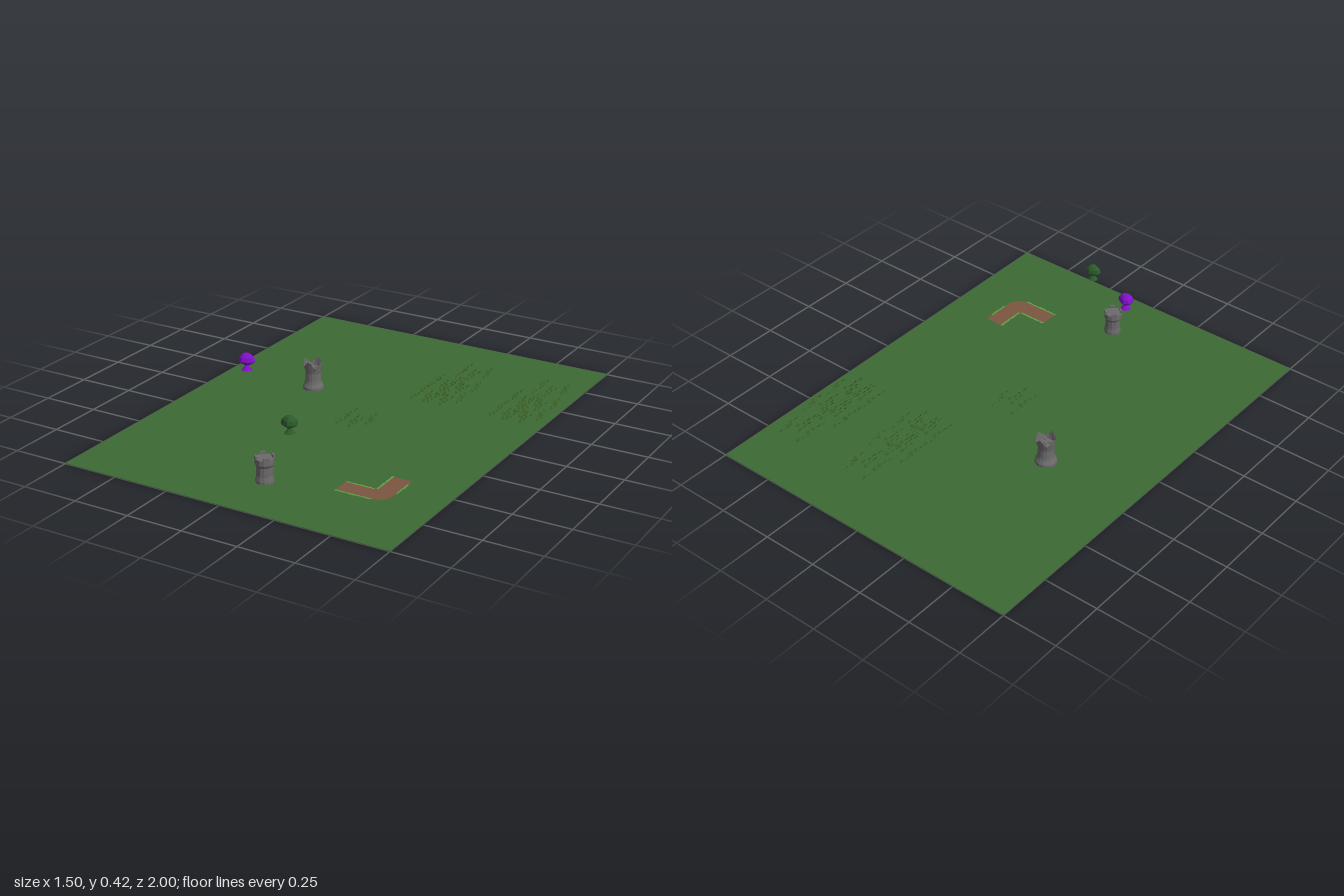
import * as THREE from 'three';
import { mergeGeometries } from 'three/addons/utils/BufferGeometryUtils.js';

const mat = (name, color, flatShading = true) => {
  const m = new THREE.MeshStandardMaterial({ color, flatShading, side: THREE.DoubleSide });
  m.name = name;
  return m;
};

const mesh = (name, geometry, material, x = 0, y = 0, z = 0) => {
  const m = new THREE.Mesh(geometry, material);
  m.name = name;
  m.position.set(x, y, z);
  return m;
};

const group = (name, x, y, z, ...parts) => {
  const g = new THREE.Group();
  g.name = name;
  g.position.set(x, y, z);
  g.add(...parts);
  return g;
};

const lathe = (pts, sides) =>
  new THREE.LatheGeometry(pts.map(([r, y]) => new THREE.Vector2(r, y)), sides);

function seeded(seed) {
  return () => (seed = (seed * 16807) % 2147483647) / 2147483647;
}

// Flat shape laid on the ground, with shape coordinates given as (x, z)
function flatShape(points) {
  const g = new THREE.ShapeGeometry(new THREE.Shape(points.map(([x, z]) => new THREE.Vector2(x, -z))));
  return g.rotateX(-Math.PI / 2);
}

// Tower with a pointed crown and a cross of beams inside
function crownTower(stone) {
  const body = lathe([[0, 0], [0.047, 0], [0.047, 0.012], [0.039, 0.028], [0.036, 0.04],
    [0.034, 0.075], [0.037, 0.09], [0, 0.09]], 16);
  const crown = new THREE.CylinderGeometry(0.042, 0.037, 0.045, 16, 1, true).translate(0, 0.1125, 0);
  const p = crown.attributes.position;
  const heights = [0.135, 0.118, 0.104, 0.118];
  for (let i = 0; i <= 16; i++) p.setY(i, heights[i % 4]);
  const beams = [1, -1].map(s =>
    new THREE.BoxGeometry(0.074, 0.008, 0.01).rotateY(s * Math.PI / 4).translate(0, 0.098, 0));
  return group('crownTower', -0.31, 0.002, -0.19,
    mesh('towerBody', body, stone), mesh('pointedCrown', crown, stone),
    mesh('crossBeams', mergeGeometries(beams), stone));
}

// Tower with a flat deck and four corner battlements
function battlementTower(stone) {
  const body = lathe([[0, 0], [0.038, 0], [0.038, 0.01], [0.034, 0.03], [0.034, 0.068],
    [0.04, 0.08], [0.04, 0.103], [0, 0.103]], 12);
  const merlons = [0, 1, 2, 3].map(i =>
    new THREE.BoxGeometry(0.025, 0.014, 0.008).translate(0, 0.108, 0.035)
      .rotateY(Math.PI / 4 + i * Math.PI / 2));
  return group('battlementTower', 0.036, 0.002, 0.735,
    mesh('towerBody', body, stone), mesh('battlements', mergeGeometries(merlons), stone));
}

// Lumpy tree crown, flat underneath, on a flared foot
function tree(name, material, x, y, z, turn) {
  const cap = new THREE.SphereGeometry(1, 9, 6);
  const p = cap.attributes.position;
  for (let i = 0; i < p.count; i++) {
    const a = Math.atan2(p.getZ(i), p.getX(i));
    const k = 1 + 0.09 * Math.cos(3 * a);
    const h = p.getY(i);
    p.setXYZ(i, p.getX(i) * k * 0.035, h > 0 ? h * 0.033 : h * 0.016, p.getZ(i) * k * 0.028);
  }
  const foot = lathe([[0, 0], [0.022, 0], [0.013, 0.01], [0.008, 0.018], [0.01, 0.028]], 8);
  const g = group(name, x, y, z, mesh('canopy', cap, material, 0, 0.04, 0),
    mesh('flaredFoot', foot, material));
  g.rotation.y = turn;
  return g;
}

// One grass tuft: three slanted blades in a row along z
function tuft(lean) {
  const s = new THREE.Shape();
  [[-0.009, 0], [-0.011, 0.013], [-0.004, 0.005], [0, 0.018], [0.004, 0.005], [0.011, 0.013], [0.009, 0]]
    .forEach(([a, b], i) => (i ? s.lineTo(a, b) : s.moveTo(a, b)));
  return new THREE.ShapeGeometry(s).rotateY(Math.PI / 2).rotateZ(lean);
}

// A patch is a set of uneven columns of tufts
function grassPatch() {
  const rand = seeded(41);
  const parts = [];
  const columns = [[-0.064, -0.085, 3], [-0.05, -0.02, 4], [-0.01, -0.03, 3], [0.01, -0.015, 4],
    [0.045, -0.085, 3], [0.06, -0.04, 3]];
  for (const [x, z, count] of columns)
    for (let i = 0; i < count; i++)
      parts.push(tuft((rand() < 0.5 ? -1 : 1) * (0.45 + 0.2 * rand()))
        .translate(x + (rand() - 0.5) * 0.012, 0, z + 0.009 + i * 0.03));
  return mergeGeometries(parts);
}

// Ragged strip of grass running between two points on the ground
function raggedEdge(x0, z0, x1, z1, rand) {
  const len = Math.hypot(x1 - x0, z1 - z0);
  const n = Math.round(len / 0.009);
  const pts = [[0, -0.003], [len, -0.003]];
  for (let i = n; i >= 0; i--) pts.push([i * len / n, 0.002 + rand() * 0.006]);
  return flatShape(pts).rotateY(-Math.atan2(z1 - z0, x1 - x0)).translate(x0, 0, z0);
}

export function createModel() {
  const ground = mat('groundGreen', 0x3d6a35);
  const stone = mat('stoneGrey', 0x6c6a6b);
  const purple = mat('purple', 0x8210cc);
  const leaf = mat('leafGreen', 0x2c5a2a);
  const grass = mat('grassGreen', 0x36581f);
  const dirt = mat('dirtBrown', 0x7b5641);
  const fringe = mat('fringeGreen', 0x5fa343);

  const model = new THREE.Group();
  model.name = 'battlefield';
  model.add(mesh('ground', new THREE.BoxGeometry(1.5, 0.002, 2), ground, 0, 0.001, 0));
  model.add(crownTower(stone), battlementTower(stone));
  model.add(tree('purpleTree', purple, -0.193, 0.35, 0.505, 0));
  model.add(tree('greenTree', leaf, 0.155, 0.237, 0.735, Math.PI));

  // Grass: one lone patch and two matching fields
  const patch = grassPatch();
  model.add(mesh('grassPatch', patch, grass, 0.05, 0.01, 0.035));
  for (const dx of [0, 0.38])
    for (const [x, z] of [[0.245, -0.68], [0.195, -0.51], [0.275, -0.51], [0.195, -0.36], [0.275, -0.36]])
      model.add(mesh('fieldGrass', patch, grass, x + dx, 0.013, z));

  // Bent dirt path with a ragged grass fringe
  const path = flatShape([[0.315, 0.58], [0.44, 0.58], [0.455, 0.565], [0.455, 0.445], [0.54, 0.445],
    [0.54, 0.6], [0.53, 0.635], [0.51, 0.655], [0.48, 0.665], [0.315, 0.665]]);
  const rand = seeded(7);
  const edges = [[0.445, 0.58, 0.315, 0.58], [0.455, 0.445, 0.455, 0.575],
    [0.315, 0.665, 0.48, 0.665], [0.54, 0.575, 0.54, 0.48]]
    .map(e => {
      const g = raggedEdge(...e, rand);
      return g;
    });
  model.add(group('path', 0, 0, 0, mesh('dirtPath', path, dirt, 0, 0.004, 0),
    mesh('grassFringe', mergeGeometries(edges), fringe, 0, 0.005, 0)));
  return model;
}
